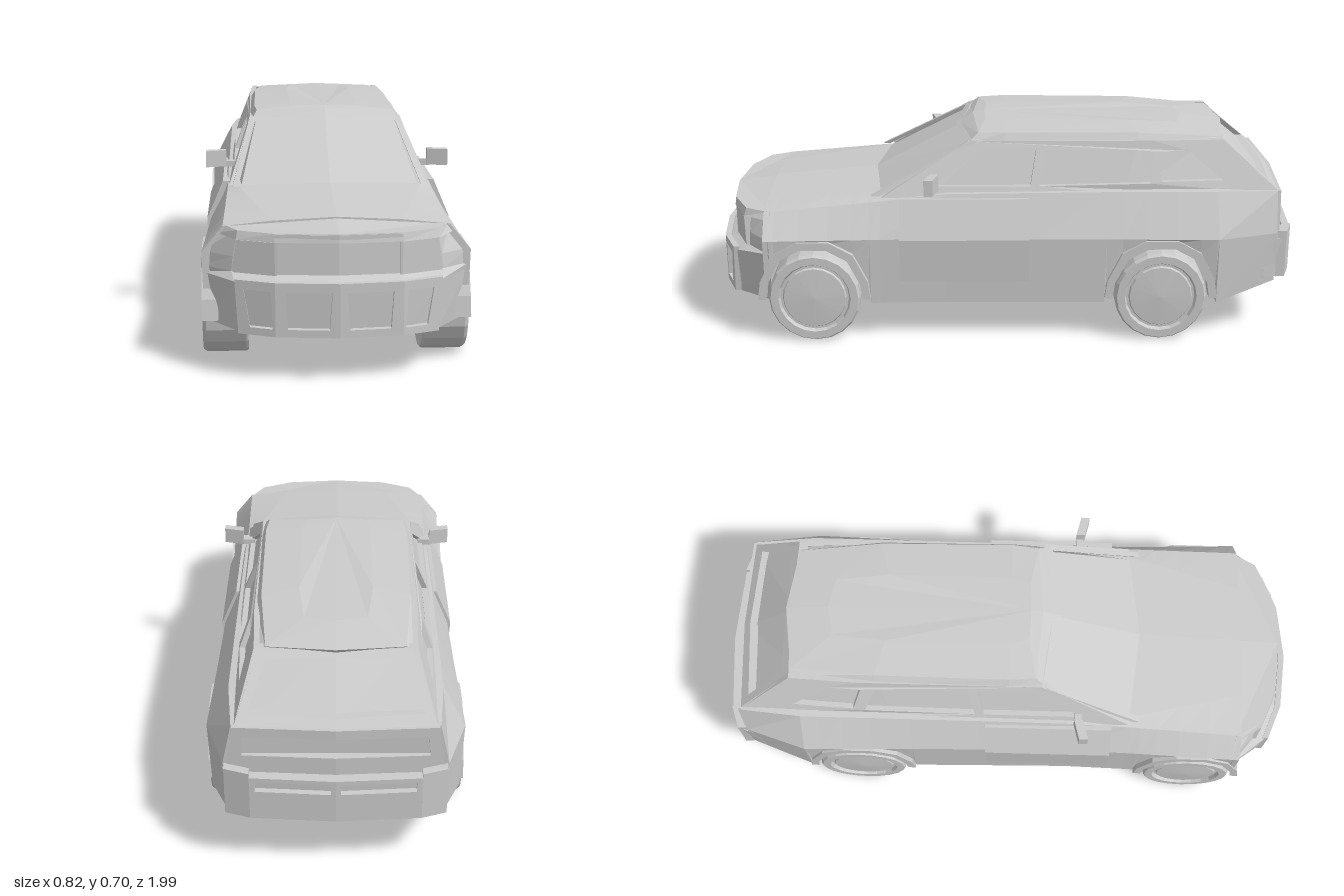
import * as THREE from 'three';

const material = new THREE.MeshStandardMaterial({ color: 0xcccccc, flatShading: true });

// Geometry from a flat list of triangle corners, optionally mirrored in x, wound outwards.
function solid(points, mirrored = false) {
  const pts = points.map(([x, y, z]) => new THREE.Vector3(mirrored ? -x : x, y, z));
  const mid = pts.reduce((s, p) => s.add(p), new THREE.Vector3()).divideScalar(pts.length);
  let volume = 0;
  for (let i = 0; i < pts.length; i += 3) {
    const [a, b, c] = [0, 1, 2].map((k) => pts[i + k].clone().sub(mid));
    volume += a.dot(b.cross(c));
  }
  if (volume < 0) pts.reverse();
  const geometry = new THREE.BufferGeometry().setFromPoints(pts);
  geometry.computeVertexNormals();
  return geometry;
}

// Closed loft through rings with equal point counts, capped at both ends.
function loft(rings) {
  const out = [], n = rings[0].length, last = rings.length - 1;
  for (let r = 0; r < last; r++) {
    for (let i = 0; i < n; i++) {
      const j = (i + 1) % n, a = rings[r], b = rings[r + 1];
      out.push(a[i], a[j], b[j], a[i], b[j], b[i]);
    }
  }
  for (let i = 1; i < n - 1; i++) {
    out.push(rings[0][0], rings[0][i + 1], rings[0][i]);
    out.push(rings[last][0], rings[last][i], rings[last][i + 1]);
  }
  return out;
}

// Completes a half ring that starts and ends on the centre line.
const symmetric = (half) => half.concat(
  half.slice(1, -1).reverse().map(([x, y, z]) => [-x, y, z]));

// Half plan ring at one height: entries are [x, z] or [x, z, y].
const plan = (y, half) => symmetric(half.map(([x, z, h = y]) => [x, h, z]));

// Flat outline with holes, given thickness and laid on a surface by place(a, b, depth).
function slab(outline, holes, thickness, place) {
  const vec = (list) => list.map(([a, b]) => new THREE.Vector2(a, b));
  const shape = new THREE.Shape(vec(outline));
  shape.holes = holes.map((h) => new THREE.Path(vec(h)));
  const g = new THREE.ExtrudeGeometry(shape, { depth: thickness, bevelEnabled: false });
  const p = g.attributes.position;
  return Array.from({ length: p.count }, (_, i) => place(p.getX(i), p.getY(i), p.getZ(i)));
}

const rect = (a0, a1, b0, b1) => [[a0, b0], [a1, b0], [a1, b1], [a0, b1]];

export function createModel() {
  const car = new THREE.Group();
  car.name = 'car';
  const add = (name, points, pair = false) => {
    for (const mirrored of pair ? [false, true] : [false]) {
      const mesh = new THREE.Mesh(solid(points, mirrored), material);
      mesh.name = pair ? (mirrored ? 'right ' : 'left ') + name : name;
      car.add(mesh);
    }
  };
  const wheelZ = [0.645, -0.525];

  // Main body: [z, low x, mid x, shoulder x, shoulder y, crease x, crease y, centre y]
  const keys = [
    [0.81, 0.405, 0.41, 0.345, 0.44, 0.2, 0.455, 0.465],
    [0.42, 0.39, 0.395, 0.335, 0.475, 0.3, 0.485, 0.5],
    [0.2, 0.385, 0.39, 0.335, 0.5, 0.3, 0.505, 0.505],
    [-0.35, 0.395, 0.4, 0.335, 0.505, 0.29, 0.51, 0.51],
    [-0.715, 0.4, 0.41, 0.335, 0.505, 0.29, 0.51, 0.51],
    [-0.92, 0.335, 0.345, 0.315, 0.5, 0.28, 0.5, 0.5],
  ];
  const sample = (z) => {
    const i = Math.max(1, keys.findIndex((k) => k[0] <= z));
    const t = (z - keys[i - 1][0]) / (keys[i][0] - keys[i - 1][0]);
    return keys[i].map((v, k) => THREE.MathUtils.lerp(keys[i - 1][k], v, t));
  };
  // Stations as [z, lower edge], the lower edge rising over each wheel
  const arch = [[0.165, 0.2], [0.13, 0.3], [0.05, 0.345], [-0.05, 0.345], [-0.13, 0.3],
    [-0.185, 0.2], [-0.19, 0.13]];
  const over = (c) => arch.map(([dz, y]) => [c + dz, y]);
  const rear = [[0.19, 0.13], [0.185, 0.2], ...arch.slice(1, 5), [-0.185, 0.2], [-0.19, 0.13]];
  const stations = [...over(wheelZ[0]), [0.42, 0.13], [0.2, 0.13], [-0.1, 0.13],
    ...rear.map(([dz, y]) => [wheelZ[1] + dz, y]), [-0.92, 0.185]];
  add('body', loft(stations.map(([z, low]) => {
    const [, xl, xm, xs, ys, xc, yc, top] = sample(Math.min(z, 0.81));
    const floor = z < -0.8 ? 0.185 : 0.13;
    return symmetric([[0, floor, z], [0.262, floor, z], [0.262, low, z], [xl, low, z],
      [xm, 0.36, z], [xs, ys, z], [xc, yc, z], [0, top, z]]);
  })));

  // Nose behind the bumper and grille
  add('nose', loft([
    plan(0.14, [[0, 0.972], [0.19, 0.952], [0.3, 0.907], [0.385, 0.79], [0, 0.77]]),
    plan(0.295, [[0, 0.978], [0.19, 0.958], [0.31, 0.913], [0.408, 0.79], [0, 0.77]]),
    plan(0.315, [[0, 0.935], [0.19, 0.915], [0.32, 0.865], [0.412, 0.79], [0, 0.77]]),
    plan(0.36, [[0, 0.933], [0.19, 0.913], [0.315, 0.863], [0.41, 0.79], [0, 0.77]]),
    plan(0.44, [[0, 0.93], [0.19, 0.91], [0.3, 0.857], [0.345, 0.79], [0, 0.77, 0.465]]),
  ]));
  // Front bumper skin with four openings
  const inner = (x, y, d) => [x, y, 0.993 - 0.105 * x - d];
  const outer = (x, y, d) => [x, y, 0.973 - 0.4 * (x - 0.19) - d];
  add('bumper centre', slab(rect(0, 0.19, 0.14, 0.305),
    [[[0.03, 0.163], [0.153, 0.163], [0.16, 0.277], [0.022, 0.277]]], 0.02, inner), true);
  add('bumper corner', slab([[0.19, 0.14], [0.3, 0.14], [0.31, 0.305], [0.19, 0.305]],
    [[[0.198, 0.163], [0.265, 0.163], [0.283, 0.277], [0.203, 0.277]]], 0.02, outer), true);
  // Grille surround, lamps and hood lip
  add('grille surround', slab([[0.183, 0.315], [0.19, 0.315], [0.19, 0.44], [0, 0.44],
    [0, 0.416], [0.183, 0.416]], [], 0.02, (x, y, d) => [x, y, 0.948 - 0.1 * x - d]), true);
  add('headlamp', slab([[0.19, 0.315], [0.315, 0.315], [0.302, 0.415], [0.19, 0.415]], [], 0.03,
    (x, y, d) => [x, y, 0.929 - 0.4 * (x - 0.19) - d]), true);
  add('hood lip', loft([
    plan(0.416, [[0, 0.95], [0.19, 0.932], [0.305, 0.883], [0.365, 0.79], [0, 0.76]]),
    plan(0.442, [[0, 0.945], [0.19, 0.926], [0.3, 0.875], [0.345, 0.79], [0, 0.76, 0.466]]),
  ]));

  // Glass cabin core
  add('glass', loft([
    plan(0.485, [[0, 0.475], [0.29, 0.42], [0.31, 0.25], [0.31, -0.4], [0.288, -0.915], [0, -0.925]]),
    plan(0.66, [[0, 0.138], [0.238, 0.1], [0.246, 0.05], [0.246, -0.45], [0.215, -0.715], [0, -0.74]]),
  ]));
  // Side pillars around three windows, outlined in z and y
  const side = (z, y, d) => [0.324 - 0.39 * (y - 0.5) - (z < -0.5 ? 0.045 * (-0.5 - z) : 0) - d, y, z];
  add('window frame', slab([[0.415, 0.485], [-0.5, 0.485], [-0.93, 0.485], [-0.74, 0.662],
    [-0.5, 0.662], [0.125, 0.662]], [
    [[0.255, 0.52], [0.075, 0.635], [-0.105, 0.635], [-0.085, 0.52]],
    [[-0.115, 0.52], [-0.14, 0.635], [-0.45, 0.632], [-0.49, 0.527]],
    [[-0.53, 0.532], [-0.5, 0.628], [-0.62, 0.628], [-0.735, 0.534]],
  ], 0.018, side), true);
  // Windscreen and rear window frames, built as mirrored halves
  add('windscreen frame', slab([[0.3, 0.487], [0.318, 0.487], [0.262, 0.665], [0, 0.672],
    [0, 0.658], [0.243, 0.653]], [], 0.025,
  (x, y, d) => [x, y, 0.478 - 0.17 * x - 1.94 * (y - 0.5) - d]), true);
  const hatch = (x, y, d) => [x, y, -0.937 + 1.16 * (y - 0.5) + 0.05 * x + d];
  add('rear window frame', slab([[0, 0.495], [0.308, 0.495], [0.238, 0.66], [0, 0.66],
    [0, 0.643], [0.215, 0.637], [0.268, 0.525], [0, 0.52]], [], 0.03, hatch), true);

  // Crowned roof with a thin overhanging rear edge
  add('roof', loft([
    plan(0.652, [[0, 0.165, 0.66], [0.257, 0.13], [0.264, 0], [0.26, -0.45], [0.235, -0.725], [0, -0.755]]),
    plan(0.685, [[0, 0.11, 0.692], [0.236, 0.09], [0.245, 0, 0.688], [0.24, -0.45, 0.684],
      [0.215, -0.735, 0.663], [0, -0.765, 0.668]]),
    plan(0.7, [[0, 0.07], [0.1, 0.065, 0.697], [0.12, 0, 0.697], [0.12, -0.42, 0.695],
      [0.1, -0.6, 0.685], [0, -0.62, 0.687]]),
  ]));

  // Tailgate panel around a recessed lamp strip
  const tail = (x, y, d) => [x, y, -0.95 + 0.06 * x + d];
  add('tailgate', slab([[0, 0.33], [0.335, 0.33], [0.312, 0.5], [0, 0.5],
    [0, 0.468], [0.28, 0.468], [0.285, 0.4], [0, 0.4]], [], 0.03, tail), true);
  // Rear bumper with two slots
  add('rear bumper', loft([
    plan(0.2, [[0, -0.975], [0.26, -0.957], [0.332, -0.935], [0.35, -0.88], [0, -0.85, 0.18]]),
    plan(0.34, [[0, -0.98], [0.265, -0.962], [0.34, -0.94], [0.355, -0.88], [0, -0.85]]),
  ]));
  add('rear bumper skin', slab(rect(0, 0.262, 0.2, 0.35), [rect(0.015, 0.245, 0.3, 0.335)], 0.025,
    (x, y, d) => [x, y, -0.999 + 0.07 * x + d]), true);
  add('rear bumper corner', slab(rect(0.262, 0.34, 0.2, 0.365), [], 0.03,
    (x, y, d) => [x, y, -0.981 + 0.35 * (x - 0.262) + d]), true);

  // Front doors standing slightly proud of the body
  const doorRing = (z) => [[0.37, 0.21, z], [0.398, 0.21, z], [0.406, 0.36, z],
    [0.352, 0.487, z], [0.32, 0.487, z]];
  add('door', loft([doorRing(0.355), doorRing(-0.08)]), true);

  // Mirrors: swept-back blade on a short stalk
  const blade = (x, z) => [[x, 0.517, z + 0.018], [x, 0.572, z + 0.018],
    [x, 0.572, z - 0.012], [x, 0.517, z - 0.012]];
  add('mirror', loft([blade(0.342, 0.235), blade(0.41, 0.212 + 0.04)]), true);
  add('mirror stalk', loft([0.3, 0.35].map((x) => [[x, 0.515, 0.25], [x, 0.535, 0.25],
    [x, 0.535, 0.225], [x, 0.515, 0.225]])), true);

  // Wheels and faceted arch lips
  const tyre = [[0, 0.27], [0.15, 0.27], [0.155, 0.277], [0.155, 0.4], [0.148, 0.411],
    [0.122, 0.411], [0.116, 0.398], [0.108, 0.398], [0.104, 0.405], [0, 0.411]];
  const lip = (r) => [[1, -0.02], [0.95, 0.3], [0.7, 0.78], [0.28, 1.0], [-0.28, 1.0],
    [-0.7, 0.78], [-0.95, 0.3], [-1, -0.02]].map(([a, b]) => [a * r, 0.155 + b * r]);
  for (const [i, z] of wheelZ.entries()) {
    const end = i ? 'rear' : 'front';
    const g = new THREE.LatheGeometry(tyre.map(([r, h]) => new THREE.Vector2(r, h)), 20).toNonIndexed();
    const p = g.attributes.position;
    add(end + ' wheel', Array.from({ length: p.count }, (_, k) =>
      [p.getY(k), 0.155 + p.getX(k), z + p.getZ(k)]), true);
    add(end + ' arch lip', slab([...lip(0.2), ...lip(0.172).reverse()], [], 0.05,
      (a, b, d) => [0.411 - d, b, z + a * 0.95]), true);
  }
  return car;
}
